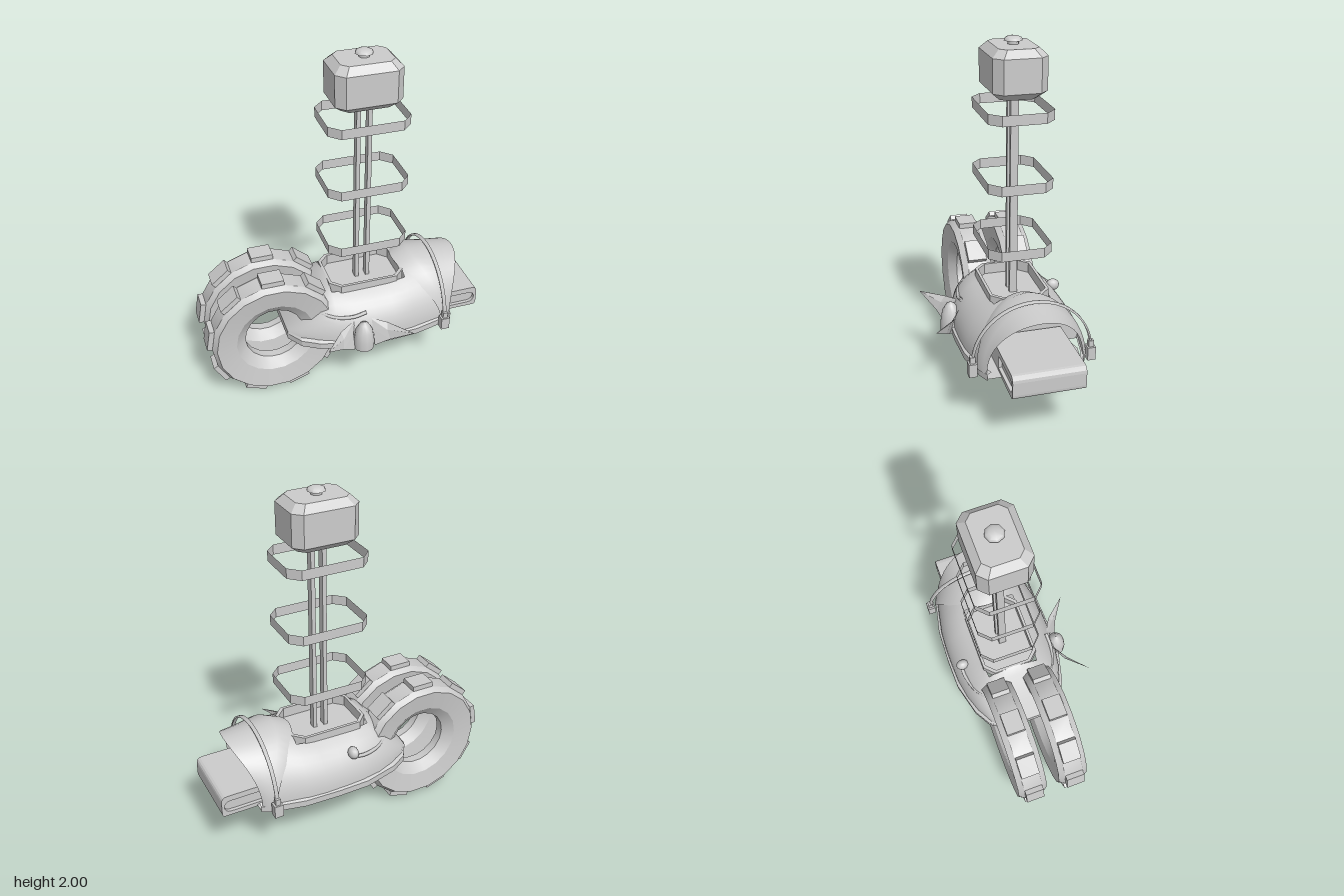
import * as THREE from 'three';
import { toCreasedNormals } from 'three/addons/utils/BufferGeometryUtils.js';

const ZC = -0.06; // the body's centre plane
const smooth = new THREE.MeshStandardMaterial({ color: 0xcccccc, side: THREE.DoubleSide });
const flat = new THREE.MeshStandardMaterial({ color: 0xcccccc, side: THREE.DoubleSide, flatShading: true });

function add(parent, name, geometry, material = flat, x = 0, y = 0, z = 0) {
  const mesh = new THREE.Mesh(geometry, material);
  mesh.name = name;
  mesh.position.set(x, y, z);
  parent.add(mesh);
  return mesh;
}

// Skin equal-length cross-sections; skip(s, j) leaves a quad out
function loft(sections, { closed = true, caps = false, skip = () => false } = {}) {
  const n = sections[0].length, index = [];
  for (let s = 0; s < sections.length - 1; s++) {
    for (let j = 0; j < (closed ? n : n - 1); j++) {
      if (skip(s, j)) continue;
      const k = (j + 1) % n, a = s * n, b = a + n;
      index.push(a + j, a + k, b + k, a + j, b + k, b + j);
    }
  }
  if (caps) {
    const t = (sections.length - 1) * n;
    for (let j = 1; j < n - 1; j++) index.push(0, j + 1, j, t, t + j, t + j + 1);
  }
  const g = new THREE.BufferGeometry();
  g.setAttribute('position', new THREE.Float32BufferAttribute(sections.flat(2), 3));
  g.setIndex(index);
  g.computeVertexNormals();
  return g;
}

// Rectangle with cut corners, lying flat at height y
function octagon(hx, hz, cut, y) {
  return [[hx, cut - hz], [hx - cut, -hz], [cut - hx, -hz], [-hx, cut - hz],
    [-hx, hz - cut], [cut - hx, hz], [hx - cut, hz], [hx, hz - cut]]
    .map(([x, z]) => [x, y, z]);
}

function wheel() {
  const g = new THREE.Group();
  g.name = 'wheel';
  const profile = [[0.17, -0.025], [0.23, -0.07], [0.345, -0.0875], [0.367, -0.055],
    [0.367, 0.055], [0.345, 0.0875], [0.23, 0.07], [0.17, 0.025], [0.17, -0.025]]
    .map(([r, y]) => new THREE.Vector2(r, y));
  const tyre = new THREE.LatheGeometry(profile, 18, Math.PI / 18).rotateX(Math.PI / 2);
  add(g, 'tyre', toCreasedNormals(tyre, 0.36), smooth);
  for (let i = 0; i < 9; i++) {
    const a = i * Math.PI * 2 / 9;
    const tread = add(g, 'tread', new THREE.BoxGeometry(0.127, 0.05, 0.107), flat,
      -Math.sin(a) * 0.366, Math.cos(a) * 0.366, 0);
    tread.rotation.z = a;
  }
  return g;
}

// Half-ellipse arches from rows of base x, crown x, half width, crown height
const ARCH = 24;
const arches = rows => rows.map(([bx, tx, hw, top]) => Array.from({ length: ARCH + 1 }, (_, j) => {
  const a = Math.PI * (1 - j / ARCH), s = Math.sin(a);
  return [bx + (tx - bx) * s * s, 0.36 + (top - 0.36) * s, ZC + hw * Math.cos(a)];
}));

function hull(g) {
  const body = arches([[-0.35, -0.35, 0.13, 0.375], [-0.29, -0.25, 0.21, 0.495], [-0.195, -0.13, 0.265, 0.625],
    [-0.09, -0.085, 0.3, 0.65], [0.02, 0.02, 0.32, 0.64], [0.14, 0.14, 0.325, 0.64],
    [0.25, 0.25, 0.325, 0.643], [0.36, 0.355, 0.318, 0.66], [0.58, 0.42, 0.275, 0.675]]);
  // The cockpit opening is left out of the crown
  add(g, 'hull', loft(body, { closed: false, skip: (s, j) => s >= 3 && s < 7 && j >= 8 && j < 16 }), smooth);
  // Open flared hood, with a bulkhead behind it
  add(g, 'hood', loft(arches([[0.54, 0.33, 0.3, 0.66], [0.56, 0.43, 0.295, 0.704],
    [0.59, 0.56, 0.28, 0.687], [0.61, 0.715, 0.262, 0.675]]), { closed: false }), smooth);
  const wall = new THREE.Shape().absellipse(0, 0, 0.31, 0.295, 0, Math.PI, false, 0);
  add(g, 'bulkhead', new THREE.ShapeGeometry(wall, 16).rotateY(Math.PI / 2), flat, 0.39, 0.36, ZC);

  // Rim band round the bottom edge, open at the nose
  const plan = [[0.62, 0.262], [0.56, 0.29], [0.38, 0.33], [0.18, 0.338], [0, 0.335],
    [-0.195, 0.285], [-0.29, 0.23], [-0.35, 0.14]];
  const outline = [...plan.map(([x, w]) => [x, -w]), ...plan.slice().reverse()];
  const band = (y, k) => outline.map(([x, w]) => [x, y, ZC + w * k]);
  add(g, 'hullRim', loft([band(0.325, 1), band(0.362, 1), band(0.375, 0.92)], { closed: false }));

  // Floor under the nose
  const floor = new THREE.Shape([[0.62, 0.26], [0.45, 0.29], [0.33, 0.26], [0.24, 0.18], [0.19, 0.06],
    [0.19, -0.06], [0.24, -0.18], [0.33, -0.26], [0.45, -0.29], [0.62, -0.26]]
    .map(([x, z]) => new THREE.Vector2(x, z)));
  add(g, 'floor', new THREE.ShapeGeometry(floor).rotateX(Math.PI / 2), flat, 0, 0.335, ZC);

  // Shallow cockpit tub
  add(g, 'cockpitTub', loft([octagon(0.224, 0.165, 0.055, 0.58), octagon(0.224, 0.165, 0.055, 0.646),
    octagon(0.208, 0.149, 0.05, 0.646), octagon(0.208, 0.149, 0.05, 0.585)], { caps: true }), flat, 0.136, 0, ZC);
}

// Nose block with a recessed slot in each side
function nose(g) {
  const w = 0.39, d = 0.02;
  const outer = () => {
    const s = new THREE.Shape();
    s.moveTo(0.4, 0.325);
    s.lineTo(0.8, 0.325);
    s.quadraticCurveTo(0.82, 0.325, 0.82, 0.35);
    s.lineTo(0.82, 0.42);
    s.quadraticCurveTo(0.82, 0.455, 0.785, 0.455);
    s.lineTo(0.4, 0.455);
    return s;
  };
  const extrude = (s, depth) => new THREE.ExtrudeGeometry(s, { depth, bevelEnabled: false, curveSegments: 4 });
  add(g, 'noseBlock', extrude(outer(), w - 2 * d), flat, 0, 0, -0.265 + d);
  const frame = outer(), slot = new THREE.Path();
  slot.moveTo(0.55, 0.35);
  slot.lineTo(0.77, 0.35);
  slot.absarc(0.77, 0.385, 0.035, -Math.PI / 2, Math.PI / 2, false);
  slot.lineTo(0.55, 0.42);
  frame.holes.push(slot);
  for (const z of [-0.265, 0.125 - d]) add(g, 'noseSideFrame', extrude(frame, d), flat, 0, 0, z);
}

function tower(g) {
  for (const x of [0.109, 0.174])
    add(g, 'post', new THREE.BoxGeometry(0.023, 1.38, 0.042), flat, x, 1.03, ZC + 0.001);
  for (const y of [0.892, 1.257, 1.625])
    add(g, 'hoop', loft([octagon(0.228, 0.174, 0.058, y - 0.028), octagon(0.228, 0.174, 0.058, y + 0.028)]),
      flat, 0.136, 0, ZC);
  add(g, 'headBox', loft([octagon(0.14, 0.1, 0.035, 1.703), octagon(0.184, 0.143, 0.046, 1.742),
    octagon(0.184, 0.143, 0.046, 1.918), octagon(0.145, 0.104, 0.035, 1.957)], { caps: true }), flat, 0.138, 0, ZC);
  const knob = [[0, 1.955], [0.03, 1.955], [0.03, 1.972], [0.05, 1.975], [0.044, 1.988], [0.027, 1.996], [0, 2]];
  add(g, 'knob', toCreasedNormals(new THREE.LatheGeometry(knob.map(([r, y]) => new THREE.Vector2(r, y)), 8), 0.8),
    smooth, 0.14, 0, ZC);
}

function strap(g) {
  const arch = (r, h, x) => Array.from({ length: 25 }, (_, i) => {
    const a = Math.PI * (1 - i / 24);
    return [x, 0.39 + h * Math.sin(a), ZC + r * Math.cos(a)];
  });
  add(g, 'strap', loft([arch(0.32, 0.315, 0.54), arch(0.33, 0.325, 0.54), arch(0.33, 0.325, 0.56),
    arch(0.32, 0.315, 0.56)], { closed: false }), smooth);
  for (const side of [-1, 1]) {
    add(g, 'buckle', new THREE.BoxGeometry(0.05, 0.075, 0.045), flat, 0.55, 0.366, ZC + side * 0.325);
    add(g, 'buckleTop', new THREE.BoxGeometry(0.028, 0.05, 0.028), flat, 0.55, 0.415, ZC + side * 0.325);
  }
}

function ornaments(g) {
  // Winged pod on the front flank
  const pod = [[0.06, 0.325], [0.06, 0.38], [0.05, 0.44], [0.025, 0.485], [0, 0.5]];
  add(g, 'pod', new THREE.LatheGeometry(pod.map(([r, y]) => new THREE.Vector2(r, y)), 12), smooth, 0.05, 0, 0.27);
  for (const side of [-1, 1]) {
    const at = ([x, y, z]) => [0.05 + side * x, y, z];
    const wing = [
      [[0.04, 0.485, 0.22], [0.14, 0.465, 0.275], [0.25, 0.457, 0.4]],
      [[0.06, 0.42, 0.26], [0.13, 0.43, 0.3], [0.25, 0.455, 0.4]],
      [[0.06, 0.325, 0.29], [0.14, 0.378, 0.325], [0.25, 0.453, 0.4]]].map(r => r.map(at));
    add(g, 'wing', loft(wing, { closed: false }));
  }
  // Half-sunk handrails along both flanks, and a lamp on the back one
  for (const side of [-1, 1]) {
    const path = new THREE.CatmullRomCurve3([[-0.17, 0.52, 0.2], [-0.1, 0.505, 0.247], [0, 0.505, 0.277], [0.08, 0.52, 0.277]]
      .map(([x, y, z]) => new THREE.Vector3(x, y, ZC + side * z)));
    add(g, 'handrail', new THREE.TubeGeometry(path, 14, 0.011, 6), smooth);
  }
  add(g, 'lamp', new THREE.SphereGeometry(0.035, 12, 8).scale(0.85, 1, 1.1), smooth, 0.065, 0.535, -0.33);
}

export function createModel() {
  const model = new THREE.Group();
  model.name = 'vehicle';
  for (const z of [-0.187, 0.065]) {
    const w = wheel();
    w.position.set(-0.43, 0.392, z);
    model.add(w);
  }
  for (const build of [hull, nose, tower, strap, ornaments]) build(model);
  return model;
}
